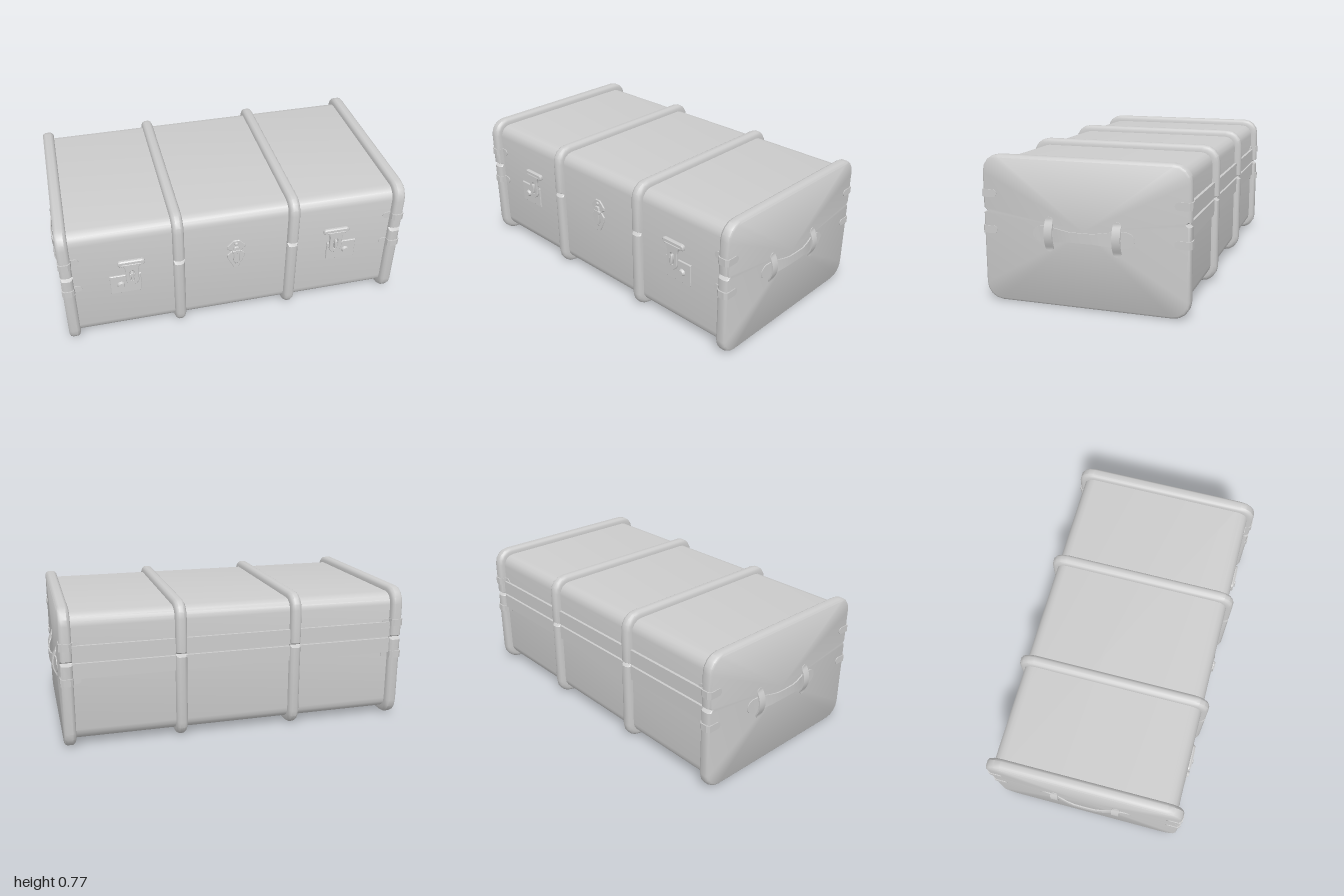
import * as THREE from 'three';
import { toCreasedNormals } from 'three/addons/utils/BufferGeometryUtils.js';

const mat = new THREE.MeshStandardMaterial({ color: 0xcccccc });
const CY = 0.39, SEAM = 0.485;

function add(parent, name, geometry, x = 0, y = 0, z = 0) {
  const mesh = new THREE.Mesh(geometry, mat);
  mesh.name = name;
  mesh.position.set(x, y, z);
  parent.add(mesh);
  return mesh;
}

// Skin a list of rings (counter-clockwise seen from the travel direction) and cap both ends.
function loft(rings, crease = 0.6) {
  const n = rings[0].length, pos = [], idx = [];
  rings.forEach(r => r.forEach(p => pos.push(...p)));
  for (let i = 0; i < rings.length - 1; i++) for (let j = 0; j < n; j++) {
    const k = (j + 1) % n, a = i * n + j, b = i * n + k;
    idx.push(a, b, b + n, a, b + n, a + n);
  }
  [0, rings.length - 1].forEach(i => {
    const c = pos.length / 3;
    pos.push(...[0, 1, 2].map(d => rings[i].reduce((s, p) => s + p[d], 0) / n));
    for (let j = 0; j < n; j++) {
      const a = i * n + j, b = i * n + (j + 1) % n;
      idx.push(c, i ? a : b, i ? b : a);
    }
  });
  const g = new THREE.BufferGeometry();
  g.setAttribute('position', new THREE.Float32BufferAttribute(pos, 3));
  g.setIndex(idx);
  return toCreasedNormals(g, crease);
}

// Rounded trunk outline at a given x, shrunk by inset, optionally notched at the lid seam.
function outline(x, inset, notched) {
  const h = 0.385 - inset, d = 0.55 - inset, r = 0.09 - 0.7 * inset, pts = [];
  const corner = (sy, sz, start) => {
    for (let i = 0; i <= 4; i++) {
      const a = start + i * Math.PI / 8;
      pts.push([x, CY + sy * (h - r) + r * Math.cos(a), sz * (d - r) + r * Math.sin(a)]);
    }
  };
  const notch = s => {
    if (!notched) return;
    [0.013, 0, -0.013].forEach(o =>
      pts.push([x, SEAM + s * o, s * (o ? d : Math.min(d, 0.522))]));
  };
  corner(1, 1, 0);
  notch(1);
  corner(-1, 1, Math.PI / 2);
  corner(-1, -1, Math.PI);
  notch(-1);
  corner(1, -1, Math.PI * 1.5);
  return loftSafe(pts);
}
const loftSafe = pts => pts;

// Rounded hoop around the trunk; profile rows are [x offset, inset].
function band(x, profile) {
  return loft(profile.map(([dx, inset]) => outline(x + dx, inset, true)));
}

// Thin bowed strap running along z; stations are [z, half width, x].
function strap(stations, t) {
  return loft(stations.map(([z, w, x]) =>
    [[x, -w, z], [x, w, z], [x - t, w, z], [x - t, -w, z]]), 0.5);
}

function pill(w, h) {
  const r = Math.min(w, h) / 2, a = w / 2 - r, b = h / 2 - r, s = new THREE.Shape();
  s.absarc(a, b, r, 0, Math.PI / 2);
  s.absarc(-a, b, r, Math.PI / 2, Math.PI);
  s.absarc(-a, -b, r, Math.PI, Math.PI * 1.5);
  s.absarc(a, -b, r, Math.PI * 1.5, Math.PI * 2);
  return s;
}
const poly = pts => new THREE.Shape(pts.map(p => new THREE.Vector2(...p)));
const plate = (shape, depth, bevel = 0.003) => toCreasedNormals(new THREE.ExtrudeGeometry(shape, {
  depth: depth - bevel, bevelThickness: bevel, bevelSize: bevel, bevelOffset: -bevel,
  bevelSegments: 1, curveSegments: 8 }), 0.5);

function makeHandle() {
  const g = new THREE.Group();
  g.name = 'endHandle';
  const half = [[0, 0.026, 0.998], [0.06, 0.026, 0.997], [0.1, 0.031, 0.992],
    [0.15, 0.037, 0.981], [0.156, 0.041, 0.979], [0.2, 0.042, 0.975], [0.235, 0.041, 0.972],
    [0.255, 0.032, 0.971], [0.266, 0.018, 0.97], [0.27, 0.005, 0.97]];
  const mirrored = half.slice(1).reverse().map(([z, w, x]) => [-z, w, x]);
  add(g, 'handleStrap', strap([...mirrored, ...half], 0.007), 0, 0.385, 0);
  // Arched loops that hold the strap ends
  const arch = [];
  for (let i = 0; i <= 16; i++) {
    const u = -Math.cos(i * Math.PI / 16), s = 0.09 * u;
    const w = 0.022 * Math.sqrt(Math.max(0.02, 1 - Math.max(0, (Math.abs(s) - 0.068) / 0.022) ** 2));
    arch.push([s, w, 0.97 + 0.022 * Math.max(0, 1 - (u / 0.8) ** 2)]);
  }
  [-0.18, 0.18].forEach(z => {
    add(g, 'handleLoop', strap(arch, 0.008), 0, 0.385, z).rotation.x = -Math.PI / 2;
  });
  return g;
}

// Metal clip bent around an end band at one vertical edge
function makeClip() {
  const g = new THREE.Group();
  g.name = 'cornerClip';
  const section = poly([[0.88, 0.52], [0.9, 0.52], [0.904, 0.545], [0.918, 0.556], [0.955, 0.556],
    [0.971, 0.544], [0.971, 0.49], [0.963, 0.49], [0.963, 0.538], [0.95, 0.547], [0.92, 0.547],
    [0.908, 0.538], [0.905, 0.512], [0.88, 0.512]]);
  const geo = new THREE.ExtrudeGeometry(section, { depth: 0.04, bevelEnabled: false });
  geo.rotateX(Math.PI / 2);
  add(g, 'clipStrap', geo, 0, 0.02, 0);
  const side = new THREE.CylinderGeometry(0.02, 0.02, 0.008, 16).rotateZ(Math.PI / 2);
  add(g, 'clipSideEnd', side, 0.967, 0, 0.49);
  const front = new THREE.CylinderGeometry(0.02, 0.02, 0.008, 16).rotateX(Math.PI / 2);
  add(g, 'clipFrontEnd', front, 0.88, 0, 0.516);
  return g;
}

function makeLock(side) {
  const g = new THREE.Group();
  g.name = side > 0 ? 'leftLock' : 'rightLock';
  add(g, 'lockPlate', plate(poly([[-0.086, -0.062], [0.086, -0.062], [0.086, 0.062], [-0.086, 0.062]]), 0.011),
    side * 0.623, 0.373, 0.513);
  add(g, 'haspTop', plate(pill(0.152, 0.036), 0.02, 0.006), side * 0.585, 0.518, 0.512);
  // Tapered hasp tongue with a slot
  const tongue = new THREE.Shape();
  tongue.moveTo(0.055, 0.515);
  tongue.quadraticCurveTo(0.036, 0.495, 0.036, 0.47);
  tongue.lineTo(0.036, 0.405);
  tongue.absarc(0, 0.405, 0.036, 0, -Math.PI, true);
  tongue.lineTo(-0.036, 0.47);
  tongue.quadraticCurveTo(-0.036, 0.495, -0.055, 0.515);
  const slot = new THREE.Path();
  slot.absarc(0, 0.455, 0.013, 0, Math.PI);
  slot.absarc(0, 0.41, 0.013, Math.PI, Math.PI * 2);
  tongue.holes.push(slot);
  add(g, 'haspTongue', plate(tongue, 0.014), side * 0.585, 0, 0.521);
  add(g, 'staple', plate(pill(0.016, 0.06), 0.022), side * 0.585, 0.43, 0.521);
  const knob = new THREE.CylinderGeometry(0.015, 0.022, 0.014, 16).rotateX(Math.PI / 2);
  add(g, 'lockKnob', knob, side * 0.65, 0.372, 0.53);
  return g;
}

function makeClasp() {
  const g = new THREE.Group();
  g.name = 'centreClasp';
  const half = (pts) => poly([...pts, ...pts.slice().reverse().map(([x, y]) => [-x, y])]);
  add(g, 'claspUpperPlate', plate(half([[0.03, 0.488], [0.052, 0.505], [0.052, 0.522], [0.018, 0.558]]), 0.009), 0, 0, 0.513);
  add(g, 'claspLowerPlate', plate(half([[0.012, 0.362], [0.05, 0.44], [0.05, 0.462], [0.03, 0.482]]), 0.009), 0, 0, 0.513);
  add(g, 'claspTongue', plate(pill(0.034, 0.115), 0.012), 0, 0.463, 0.52);
  add(g, 'claspCatch', plate(pill(0.05, 0.022), 0.014), 0, 0.485, 0.52);
  [0.405, 0.535].forEach(y => {
    const stud = new THREE.SphereGeometry(0.011, 12, 8);
    stud.scale(1, 1, 0.7);
    add(g, 'claspStud', stud, 0, y, 0.522);
  });
  return g;
}

export function createModel() {
  const model = new THREE.Group();
  model.name = 'trunk';
  add(model, 'body', loft([outline(-0.94, 0.035), outline(0.94, 0.035)]));

  // Hoops: two closed end caps and two around the middle
  const midProfile = [[-0.031, 0.04], [-0.031, 0.02], [-0.024, 0.007], [-0.012, 0],
    [0.012, 0], [0.024, 0.007], [0.031, 0.02], [0.031, 0.04]];
  const endProfile = [[-0.032, 0.04], [-0.032, 0.018], [-0.026, 0.007], [-0.015, 0],
    [0.015, 0], [0.026, 0.005], [0.032, 0.014]];
  const flipped = endProfile.map(([x, i]) => [-x, i]).reverse();
  [-0.325, 0.325].forEach(x => add(model, 'middleBand', band(x, midProfile)));
  add(model, 'leftEndCap', band(0.935, endProfile));
  add(model, 'rightEndCap', band(-0.935, flipped));

  // Hinge strips along the back, either side of the seam
  [[0.395, 0.479], [0.491, 0.575]].forEach(([y0, y1]) =>
    add(model, 'hingeStrip', new THREE.BoxGeometry(1.82, y1 - y0, 0.02), 0, (y0 + y1) / 2, -0.52));

  // Clips at each vertical edge, above and below the seam
  [0.575, 0.385].forEach(y => {
    [[0, 0, 0], [Math.PI, 0, 0], [0, Math.PI, 0], [0, 0, Math.PI]].forEach(r => {
      const clip = makeClip();
      clip.rotation.set(...r);
      clip.position.y = y;
      model.add(clip);
    });
  });

  [0, Math.PI].forEach(a => {
    const handle = makeHandle();
    handle.rotation.y = a;
    model.add(handle);
  });
  model.add(makeLock(1), makeLock(-1), makeClasp());
  return model;
}
